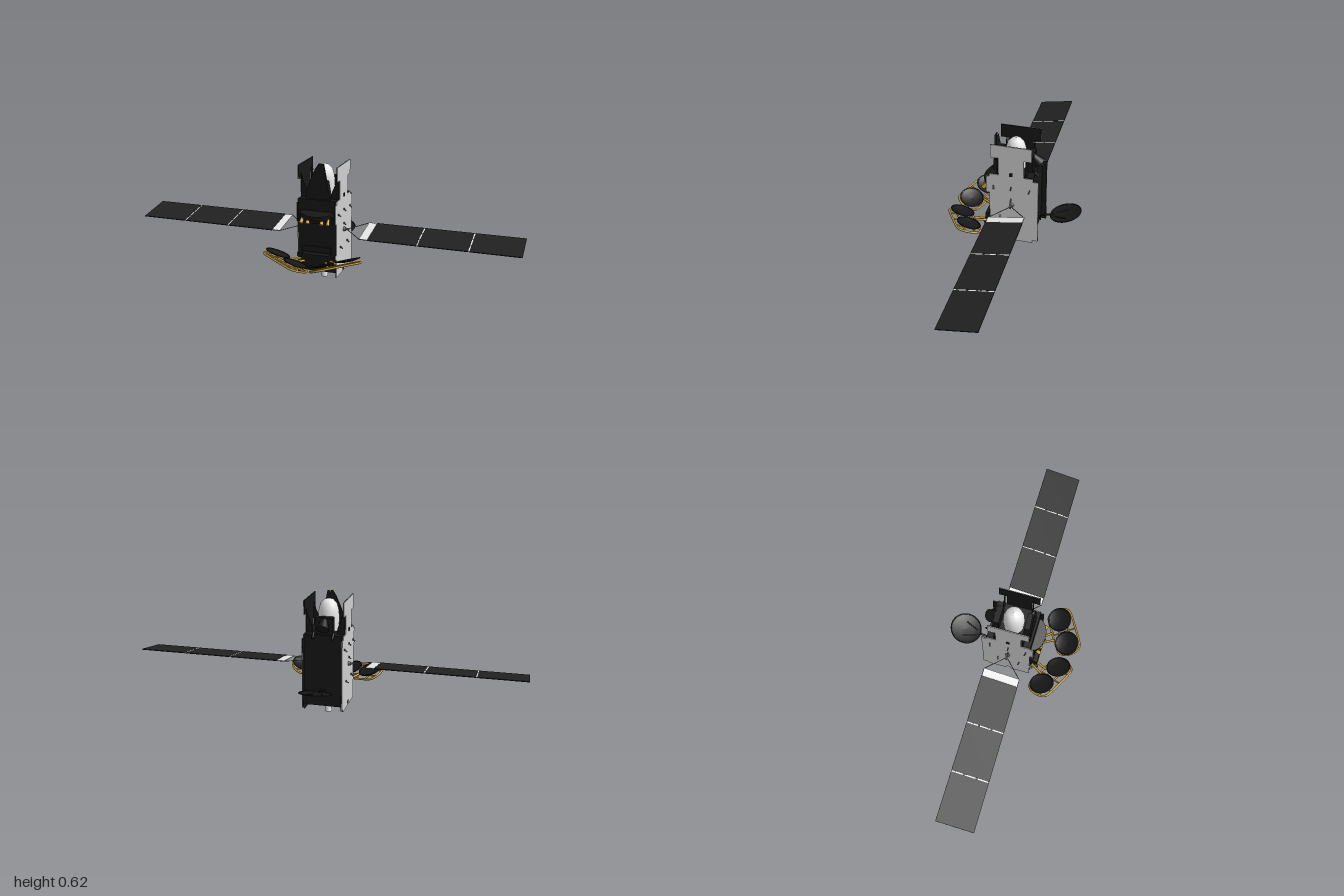
import * as THREE from 'three';

const mat = (name, color, side = THREE.FrontSide) =>
  Object.assign(new THREE.MeshStandardMaterial({ color, side }), { name });
const black = mat('blackBlanket', 0x171717, THREE.DoubleSide);
const cell = mat('solarCell', 0x212121);
const gray = mat('panelGray', 0xcfcfcf);
const white = mat('white', 0xf0f0f0, THREE.DoubleSide);
const metal = mat('metal', 0x6a6a6a);
const gold = mat('gold', 0xc49a2c);
const V = (x, y, z) => new THREE.Vector3(x, y, z);

function add(parent, name, geo, material, x = 0, y = 0, z = 0) {
  const m = new THREE.Mesh(geo, material);
  m.name = name;
  m.position.set(x, y, z);
  parent.add(m);
  return m;
}
const box = (p, name, m, w, h, d, x, y, z) => add(p, name, new THREE.BoxGeometry(w, h, d), m, x, y, z);

// Straight rod or cone between two points
function rod(p, name, m, a, b, r0, r1 = r0, sides = 10) {
  const d = b.clone().sub(a);
  const mesh = add(p, name, new THREE.CylinderGeometry(r1, r0, d.length(), sides), m);
  mesh.position.copy(a).lerp(b, 0.5);
  mesh.quaternion.setFromUnitVectors(V(0, 1, 0), d.normalize());
  return mesh;
}
const lathe = (pts, n = 32) => new THREE.LatheGeometry(pts.map(p => new THREE.Vector2(...p)), n);
const polygon = pts => new THREE.Shape(pts.map(p => new THREE.Vector2(...p)));
const extrude = (pts, depth) => new THREE.ExtrudeGeometry(polygon(pts), { depth, bevelEnabled: false });

// Shallow bowl with a rim, opening along local +y
function dish(p, name, r, x, y, z) {
  const g = new THREE.Group();
  g.name = name;
  g.position.set(x, y, z);
  add(g, 'bowl', lathe([[0, -0.009], [r * 0.4, -0.007], [r * 0.75, -0.003], [r, 0.003]], 40), black);
  add(g, 'rim', new THREE.TorusGeometry(r - 0.002, 0.003, 6, 40), black, 0, 0.002, 0).rotation.x = Math.PI / 2;
  p.add(g);
  return g;
}

// Side panel outline as (-z, y), with notches and flaps, and the T-shaped shield above it
const sideOutline = [[-0.112, 0.043], [-0.012, 0.043], [-0.012, 0.068], [0.012, 0.068], [0.012, 0.043],
  [0.112, 0.043], [0.112, 0.058], [0.14, 0.058], [0.14, 0.139], [0.138, 0.139], [0.138, 0.422], [0.11, 0.422],
  [0.11, 0.438], [-0.112, 0.438], [-0.112, 0.422], [-0.128, 0.422], [-0.128, 0.325], [-0.112, 0.325],
  [-0.112, 0.161], [-0.128, 0.161], [-0.128, 0.141], [-0.112, 0.141]];
const shieldOutline = [[-0.064, 0.438], [0.064, 0.438], [0.064, 0.535], [0.103, 0.535],
  [0.103, 0.607], [-0.104, 0.607], [-0.104, 0.535], [-0.064, 0.535]];

function sidePanels(root, s) {
  const g = new THREE.Group();
  g.name = s > 0 ? 'leftSide' : 'rightSide';
  root.add(g);
  for (const [name, pts] of [['sidePanel', sideOutline], ['upperShield', shieldOutline]]) {
    // Gray outer skin over a black inner skin
    for (const [skin, m, x0] of [['Outer', gray, 0.1], ['Inner', black, 0.097]]) {
      const mesh = add(g, name + skin, extrude(pts, 0.003), m, s > 0 ? x0 : -x0 - 0.003);
      mesh.rotation.y = Math.PI / 2;
    }
  }
  // Braces that hold the shield
  for (const z of [-0.075, 0.07]) {
    const pts = [[0.098, 0.44], [0.098, 0.57], [0.085, 0.52], [0.065, 0.475], [0.06, 0.44]].map(([x, y]) => [x * s, y]);
    add(g, 'shieldBrace', extrude(pts, 0.004), black, 0, 0, z);
  }
  // Small thrusters
  for (const [z, y] of [[0.09, 0.367], [0, 0.372], [-0.095, 0.367], [0, 0.3], [0.057, 0.19], [-0.057, 0.19]]) {
    box(g, 'thrusterMount', metal, 0.006, 0.009, 0.005, s * 0.106, y, z);
    rod(g, 'thruster', metal, V(s * 0.107, y, z), V(s * 0.116, y - 0.009, z - Math.sign(z) * 0.004), 0.0015, 0.004);
  }
  box(g, 'panelFitting', black, 0.006, 0.018, 0.017, s * 0.104, 0.448, 0);
}

function solarWing(root, s) {
  const g = new THREE.Group();
  g.name = s > 0 ? 'leftSolarWing' : 'rightSolarWing';
  g.position.set(0, 0.267, -0.003);
  g.rotation.x = 0.166;
  root.add(g);
  for (let i = 0; i < 3; i++) {
    box(g, 'solarPanel', cell, 0.244, 0.004, 0.192, s * (0.375 + i * 0.25), 0, 0);
    if (i) for (const z of [-0.065, 0, 0.065])
      box(g, 'hingeStrip', white, 0.007, 0.003, 0.06, s * (0.25 + i * 0.25), 0, z);
  }
  // Yoke and drive hub
  box(g, 'yokePlate', white, 0.042, 0.003, 0.186, s * 0.231, 0, 0);
  for (const z of [-1, 1]) {
    rod(g, 'yokeArm', metal, V(s * 0.125, 0, z * 0.006), V(s * 0.21, 0, z * 0.091), 0.002);
    rod(g, 'yokeEdge', metal, V(s * 0.21, 0, z * 0.093), V(s * 0.252, 0, z * 0.093), 0.002);
  }
  rod(g, 'driveHub', metal, V(s * 0.1, 0, 0), V(s * 0.115, 0, 0), 0.013, 0.009, 16);
  rod(g, 'driveShaft', metal, V(s * 0.11, 0, 0), V(s * 0.132, 0, 0), 0.005, 0.005);
}

// Pair of reflectors on a gold tubular frame
function reflectorPair(root, s, outer, inner) {
  const g = new THREE.Group();
  g.name = s > 0 ? 'leftReflectors' : 'rightReflectors';
  const n = V(-0.3 * s, 1, -0.25).normalize();
  const d = inner.clone().sub(outer).projectOnPlane(n).normalize();
  g.quaternion.setFromRotationMatrix(new THREE.Matrix4().makeBasis(d, n, d.clone().cross(n)));
  g.position.copy(outer).lerp(inner, 0.5);
  root.add(g);
  for (const k of [-1, 1]) dish(g, 'reflector', 0.062, k * 0.066, 0.008, 0);
  const loop = [[-0.122, -0.025], [-0.09, -0.062], [0.09, -0.062], [0.122, -0.025],
    [0.122, 0.025], [0.09, 0.062], [-0.09, 0.062], [-0.122, 0.025]].map(([x, z]) => V(x, -0.012, z));
  const curve = new THREE.CatmullRomCurve3(loop, true, 'catmullrom', 0.3);
  add(g, 'frameLoop', new THREE.TubeGeometry(curve, 80, 0.0055, 8, true), gold);
  for (const z of [-0.025, 0.025]) rod(g, 'frameRail', gold, V(-0.12, -0.012, z), V(0.12, -0.012, z), 0.0045);
  for (const x of [-0.066, 0, 0.066]) rod(g, 'frameCrossbar', gold, V(x, -0.013, -0.062), V(x, -0.013, 0.062), 0.004);
  // Booms to the body
  const a = V(s * 0.045, 0.125, 0.12);
  rod(root, 'reflectorBoom', gold, a, V(s * 0.085, 0.135, 0.2), 0.006);
  rod(root, 'reflectorBoom', gold, V(s * 0.075, 0.13, 0.12), V(s * 0.12, 0.147, 0.185), 0.006);
  rod(root, 'boomHinge', black, a, V(s * 0.085, 0.12, 0.145), 0.012);
}

export function createModel() {
  const root = new THREE.Group();
  root.name = 'satellite';

  // Body
  box(root, 'body', black, 0.196, 0.372, 0.224, 0, 0.254, 0);
  box(root, 'frontEquipmentBox', black, 0.14, 0.06, 0.035, 0, 0.135, 0.128);
  box(root, 'frontLowerBox', black, 0.15, 0.03, 0.012, 0, 0.185, 0.117);
  for (const s of [1, -1]) {
    sidePanels(root, s);
    solarWing(root, s);
  }

  // Main engine and gold heat shield
  add(root, 'heatShield', new THREE.CylinderGeometry(0.07, 0.07, 0.006, 40), gold, 0, 0.066, -0.005);
  box(root, 'engineMount', black, 0.024, 0.012, 0.024, 0, 0.062, -0.005);
  add(root, 'engineNozzle', lathe([[0.018, 0], [0.016, 0.018], [0.012, 0.036], [0.006, 0.052], [0.004, 0.06]], 24),
    white, 0, 0, -0.006);

  // Top deck: white dome, front tower and rear horn
  add(root, 'dome', lathe([[0.05, 0.44], [0.054, 0.5], [0.051, 0.54], [0.042, 0.574], [0.025, 0.594], [0, 0.602]]), white);
  const tower = [[-0.063, 0.44], [-0.058, 0.475], [-0.045, 0.52], [-0.015, 0.59], [0.003, 0.618],
    [0.03, 0.618], [0.042, 0.555], [0.055, 0.49], [0.065, 0.44]];
  add(root, 'frontTower', extrude(tower, 0.01), black, 0, 0, 0.09);
  add(root, 'towerBase', extrude([[-0.06, 0.44], [0.062, 0.44], [0.046, 0.53], [-0.04, 0.53]], 0.03), black, 0, 0, 0.062);
  add(root, 'towerTip', new THREE.SphereGeometry(0.005, 10, 8), gold, 0.016, 0.616, 0.09);
  box(root, 'rearTower', black, 0.09, 0.085, 0.03, 0, 0.482, -0.08);
  rod(root, 'rearHorn', black, V(0, 0.515, -0.08), V(0, 0.473, -0.122), 0.014, 0.032, 20);
  for (const x of [-0.05, 0.05])
    rod(root, 'rearAntenna', black, V(x, 0.45, -0.105), V(x, 0.425, -0.128), 0.007, 0.005);

  // Front feed cluster under a visor
  const visor = add(root, 'feedVisor', new THREE.CylinderGeometry(0.085, 0.09, 0.022, 24, 1, false, -Math.PI / 2, Math.PI),
    black, 0, 0.372, 0.108);
  visor.scale.z = 0.65;
  visor.rotation.x = 0.3;
  box(root, 'feedBase', black, 0.17, 0.045, 0.024, 0, 0.345, 0.12);
  for (const x of [-0.068, -0.036, 0.036, 0.068])
    rod(root, 'feedHorn', gold, V(x, 0.358, 0.13), V(x * 1.02, 0.326, 0.153), 0.005, 0.011, 12);

  // Front reflectors
  reflectorPair(root, 1, V(0.19, 0.172, 0.2), V(0.08, 0.15, 0.27));
  reflectorPair(root, -1, V(-0.18, 0.165, 0.2), V(-0.06, 0.143, 0.262));

  // Rear reflector on its boom
  const rear = dish(root, 'rearReflector', 0.082, 0, 0.188, -0.262);
  rear.rotation.x = 0.24;
  rod(root, 'rearBoom', black, V(0, 0.145, -0.11), V(0, 0.17, -0.2), 0.005);
  box(root, 'rearBoomHinge', black, 0.03, 0.02, 0.02, 0, 0.147, -0.12);
  for (const x of [-0.04, 0.04])
    rod(root, 'rearStrut', black, V(x * 0.2, 0.165, -0.185), V(x, 0.184, -0.27), 0.003);

  return root;
}
